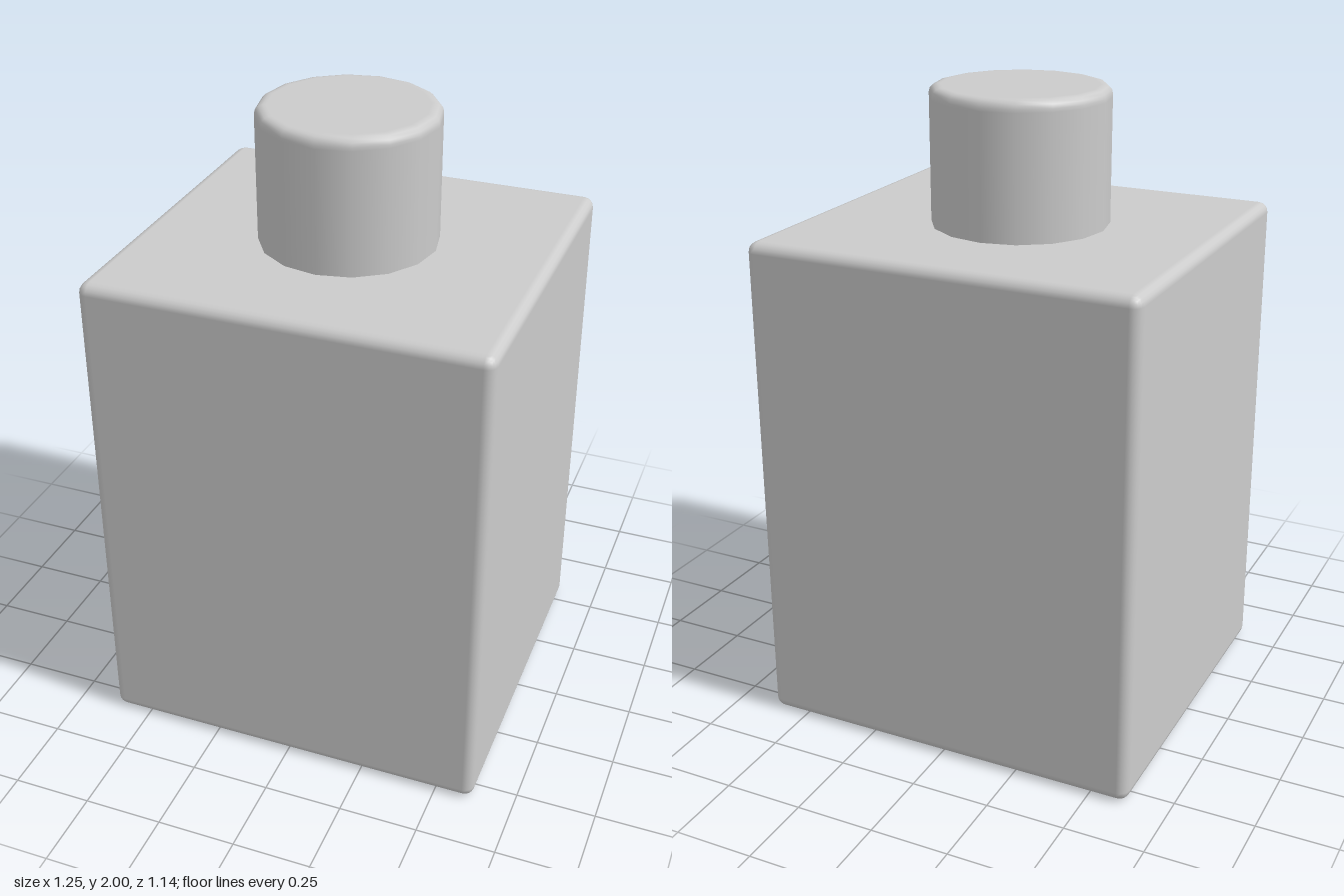
import * as THREE from 'three';
import { RoundedBoxGeometry } from 'three/addons/geometries/RoundedBoxGeometry.js';

const BODY = { width: 1.245, height: 1.58, depth: 1.145, bevel: 0.033 };
const CAP = { radius: 0.275, top: 2, bevel: 0.026, sides: 16 };

export function createModel() {
  const model = new THREE.Group();
  model.name = 'bottle';
  const material = new THREE.MeshStandardMaterial({ color: 0xcccccc });

  // Square bottle body with softly rounded edges
  const body = new THREE.Mesh(
    new RoundedBoxGeometry(BODY.width, BODY.height, BODY.depth, 2, BODY.bevel), material);
  body.name = 'bottleBody';
  body.position.y = BODY.height / 2;
  model.add(body);

  // Sixteen-sided cap, its profile turned from the shoulder up to a rounded rim
  const { radius, top, bevel } = CAP;
  const profile = [
    new THREE.Vector2(radius, BODY.height),
    new THREE.Vector2(radius, top - bevel - 0.01),
  ];
  for (let i = 0; i <= 3; i++) {
    const a = (i / 3) * Math.PI / 2;
    profile.push(new THREE.Vector2(
      radius - bevel + bevel * Math.cos(a), top - bevel + bevel * Math.sin(a)));
  }
  profile.push(new THREE.Vector2(radius - bevel - 0.01, top), new THREE.Vector2(0, top));
  const cap = new THREE.Mesh(new THREE.LatheGeometry(profile, CAP.sides), material);
  cap.name = 'cap';
  cap.position.set(-0.004, 0, -0.003);
  model.add(cap);

  return model;
}
